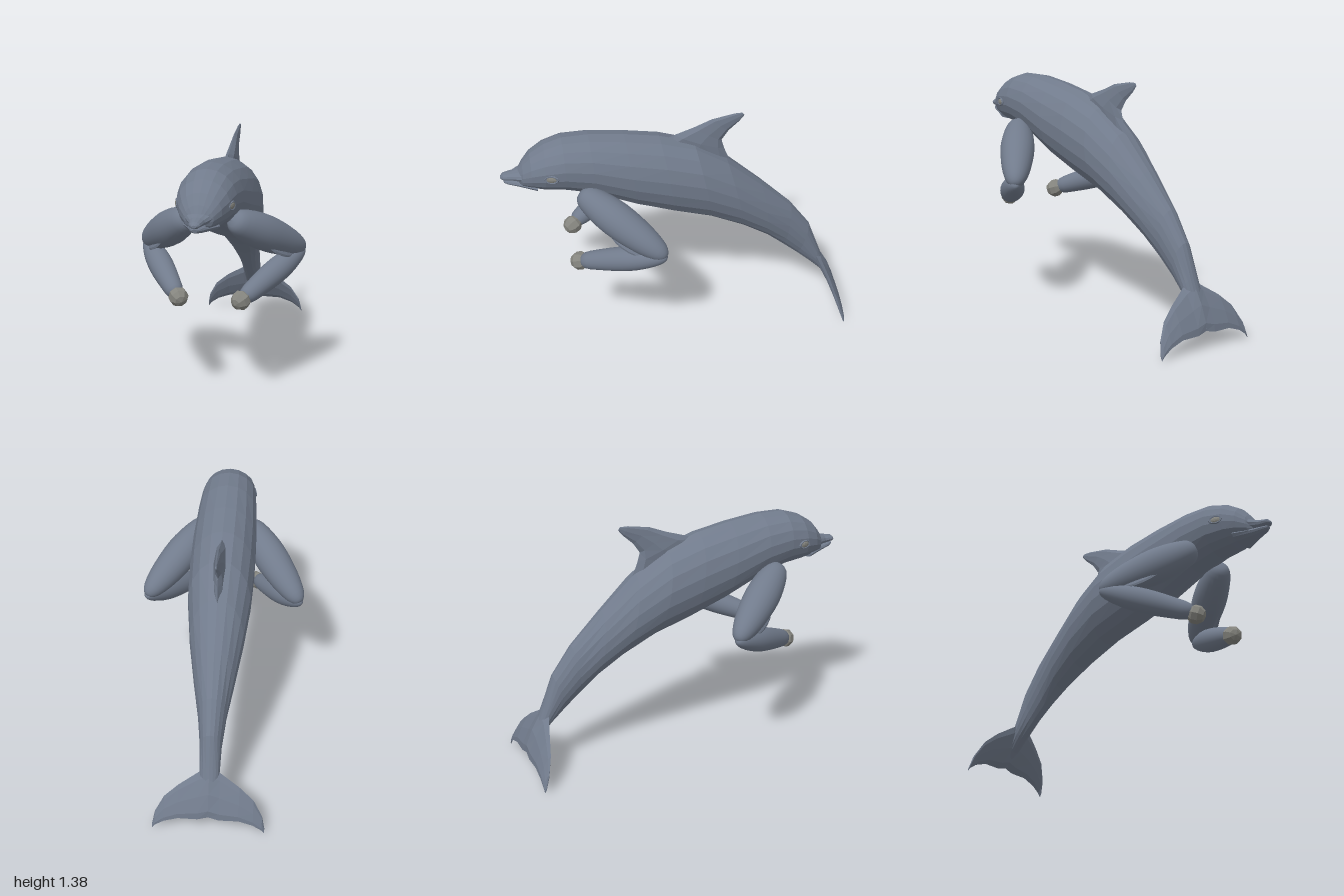
import * as THREE from 'three';

const skin = new THREE.MeshStandardMaterial({ color: 0x717b8c, flatShading: true });
const smoothSkin = new THREE.MeshStandardMaterial({ color: 0x717b8c });
const pale = new THREE.MeshStandardMaterial({ color: 0x85857f, flatShading: true });
const V = (x, y, z) => new THREE.Vector3(x, y, z);
const X = V(1, 0, 0);

// Elliptical ring between points p and q, with half width vector side
function ring(p, q, side, n) {
  const c = p.clone().add(q).multiplyScalar(0.5);
  const up = p.clone().sub(c);
  return Array.from({ length: n }, (_, j) => {
    const a = (j / n) * Math.PI * 2;
    return c.clone().addScaledVector(up, Math.cos(a)).addScaledVector(side, Math.sin(a));
  });
}

// Skin over a row of rings, closed at both ends
function loft(rings, name) {
  const n = rings[0].length, last = (rings.length - 1) * n;
  const centre = (r) => r.reduce((s, p) => s.add(p), V(0, 0, 0)).divideScalar(n);
  const pts = [...rings.flat(), centre(rings[0]), centre(rings.at(-1))];
  const idx = [];
  for (let j = 0; j < n; j++) {
    const k = (j + 1) % n;
    for (let i = 0; i < last; i += n) {
      idx.push(i + j, i + k, i + n + j, i + k, i + n + k, i + n + j);
    }
    idx.push(last + n, k, j, last + n + 1, last + j, last + k);
  }
  const geo = new THREE.BufferGeometry().setFromPoints(pts);
  geo.setIndex(idx);
  geo.computeVertexNormals();
  const mesh = new THREE.Mesh(geo, skin);
  mesh.name = name;
  return mesh;
}

// Rows of: top z, top y, bottom z, bottom y, half width
const profile = (rows, name, n) => loft(rows.map(([tz, ty, bz, by, w]) =>
  ring(V(0, ty, tz), V(0, by, bz), X.clone().multiplyScalar(w), n)), name);

// Rounded limb from a to b, rows of: fraction along, radius
function limb(a, b, rows, name) {
  const dir = b.clone().sub(a), len = dir.length();
  const curve = new THREE.SplineCurve(rows.map(([t, r]) => new THREE.Vector2(r, t * len)));
  const pts = curve.getPoints(20).map((p) => p.setX(Math.max(p.x, 0)));
  const mesh = new THREE.Mesh(new THREE.LatheGeometry(pts, 24), smoothSkin);
  mesh.position.copy(a);
  mesh.quaternion.setFromUnitVectors(V(0, 1, 0), dir.normalize());
  mesh.name = name;
  return mesh;
}

function arm(s) {
  const g = new THREE.Group();
  g.name = s > 0 ? 'leftArm' : 'rightArm';
  const shoulder = V(s * 0.12, 1.05, 0.57), elbow = V(s * 0.455, 0.785, 0.14), wrist = V(s * 0.18, 0.61, 0.6);
  g.add(limb(shoulder, elbow, [[0, 0], [0.02, 0.045], [0.1, 0.075], [0.3, 0.097], [0.5, 0.1],
    [0.75, 0.083], [0.92, 0.056], [0.99, 0.025], [1, 0]], 'upperArm'));
  g.add(limb(elbow, wrist, [[0, 0], [0.01, 0.022], [0.1, 0.046], [0.3, 0.066], [0.5, 0.07],
    [0.75, 0.06], [0.93, 0.045], [1, 0]], 'forearm'));

  // Faceted fist
  const fist = new THREE.Mesh(new THREE.SphereGeometry(0.056, 8, 5), pale);
  fist.position.set(s * 0.174, 0.605, 0.597);
  fist.quaternion.setFromUnitVectors(V(0, 1, 0), wrist.clone().sub(elbow).normalize());
  fist.name = 'fist';
  g.add(fist);

  // Flipper blade showing along the underside of the upper arm
  const along = elbow.clone().sub(shoulder).normalize();
  const out = V(0, -0.55, 0.83).addScaledVector(along, -V(0, -0.55, 0.83).dot(along)).normalize();
  const flipper = new THREE.Mesh(new THREE.SphereGeometry(1, 10, 8), skin);
  flipper.quaternion.setFromRotationMatrix(
    new THREE.Matrix4().makeBasis(out, along, out.clone().cross(along)));
  flipper.scale.set(0.05, 0.12, 0.014);
  flipper.position.set(s * 0.35, 0.84, 0.345);
  flipper.name = 'flipper';
  g.add(flipper);
  return g;
}

function eye(s) {
  const g = new THREE.Group();
  g.name = s > 0 ? 'leftEye' : 'rightEye';
  const lid = new THREE.Mesh(new THREE.TorusGeometry(0.028, 0.007, 5, 12), skin);
  lid.name = 'eyelid';
  const ball = new THREE.Mesh(new THREE.SphereGeometry(0.026, 10, 6), pale);
  ball.scale.z = 0.4;
  ball.name = 'eyeball';
  g.add(lid, ball);
  g.scale.set(1.25, 0.75, 1);
  g.position.set(s * 0.147, 1.17, 0.725);
  g.rotation.y = s * 1.3;
  return g;
}

export function createModel() {
  const model = new THREE.Group();
  model.name = 'armedDolphin';

  model.add(profile([
    [0.9, 1.165, 0.9, 1.08, 0.045], [0.875, 1.205, 0.88, 1.065, 0.08], [0.83, 1.26, 0.83, 1.055, 0.115],
    [0.75, 1.312, 0.76, 1.04, 0.145], [0.65, 1.345, 0.64, 1.025, 0.162], [0.5, 1.348, 0.48, 0.98, 0.173],
    [0.3, 1.325, 0.24, 0.87, 0.186], [0.1, 1.29, 0.02, 0.79, 0.188], [-0.1, 1.225, -0.2, 0.72, 0.18],
    [-0.29, 1.1, -0.4, 0.62, 0.153], [-0.5, 0.91, -0.55, 0.52, 0.115], [-0.69, 0.725, -0.65, 0.43, 0.08],
    [-0.81, 0.56, -0.74, 0.35, 0.062], [-0.877, 0.38, -0.84, 0.26, 0.056],
    [-0.935, 0.23, -0.91, 0.19, 0.045], [-0.985, 0.12, -0.975, 0.11, 0.02],
  ], 'body', 18));

  // Beak in two halves, with the mouth line between them
  model.add(profile([
    [1, 1.13, 1, 1.115, 0.012], [0.985, 1.145, 0.985, 1.108, 0.03], [0.93, 1.155, 0.93, 1.102, 0.043],
    [0.87, 1.175, 0.87, 1.1, 0.08], [0.8, 1.2, 0.8, 1.095, 0.122],
  ], 'upperBeak', 12));
  model.add(profile([
    [0.985, 1.106, 0.98, 1.085, 0.014], [0.965, 1.108, 0.96, 1.077, 0.028],
    [0.9, 1.108, 0.9, 1.063, 0.05], [0.8, 1.11, 0.8, 1.045, 0.1],
  ], 'lowerJaw', 12));

  // Dorsal fin: leading edge, trailing edge, half thickness
  model.add(profile([
    [0.1, 1.25, -0.32, 1.05, 0.03], [0.01, 1.285, -0.275, 1.165, 0.034], [-0.1, 1.322, -0.26, 1.22, 0.025],
    [-0.2, 1.363, -0.3, 1.28, 0.015], [-0.33, 1.387, -0.36, 1.335, 0.009], [-0.375, 1.388, -0.388, 1.37, 0.004],
  ], 'dorsalFin', 8));

  // Tail flukes: x, leading y and z, trailing y and z, half thickness
  const half = [
    [0, 0.36, -0.86, 0.105, -0.985, 0.025], [0.06, 0.33, -0.86, 0.09, -0.99, 0.022],
    [0.17, 0.26, -0.895, 0.088, -0.987, 0.015], [0.25, 0.19, -0.92, 0.06, -0.987, 0.011],
    [0.3, 0.1, -0.95, 0.025, -0.987, 0.008], [0.315, 0.03, -0.973, 0.003, -0.985, 0.004],
  ];
  const span = [...half.slice(1).reverse().map(([x, ...r]) => [-x, ...r]), ...half];
  model.add(loft(span.map(([x, ly, lz, ty, tz, t]) =>
    ring(V(x, ly, lz), V(x, ty, tz), V(0, -0.4, 0.92).multiplyScalar(t), 8)), 'tailFlukes'));

  for (const s of [1, -1]) model.add(arm(s), eye(s));
  return model;
}
